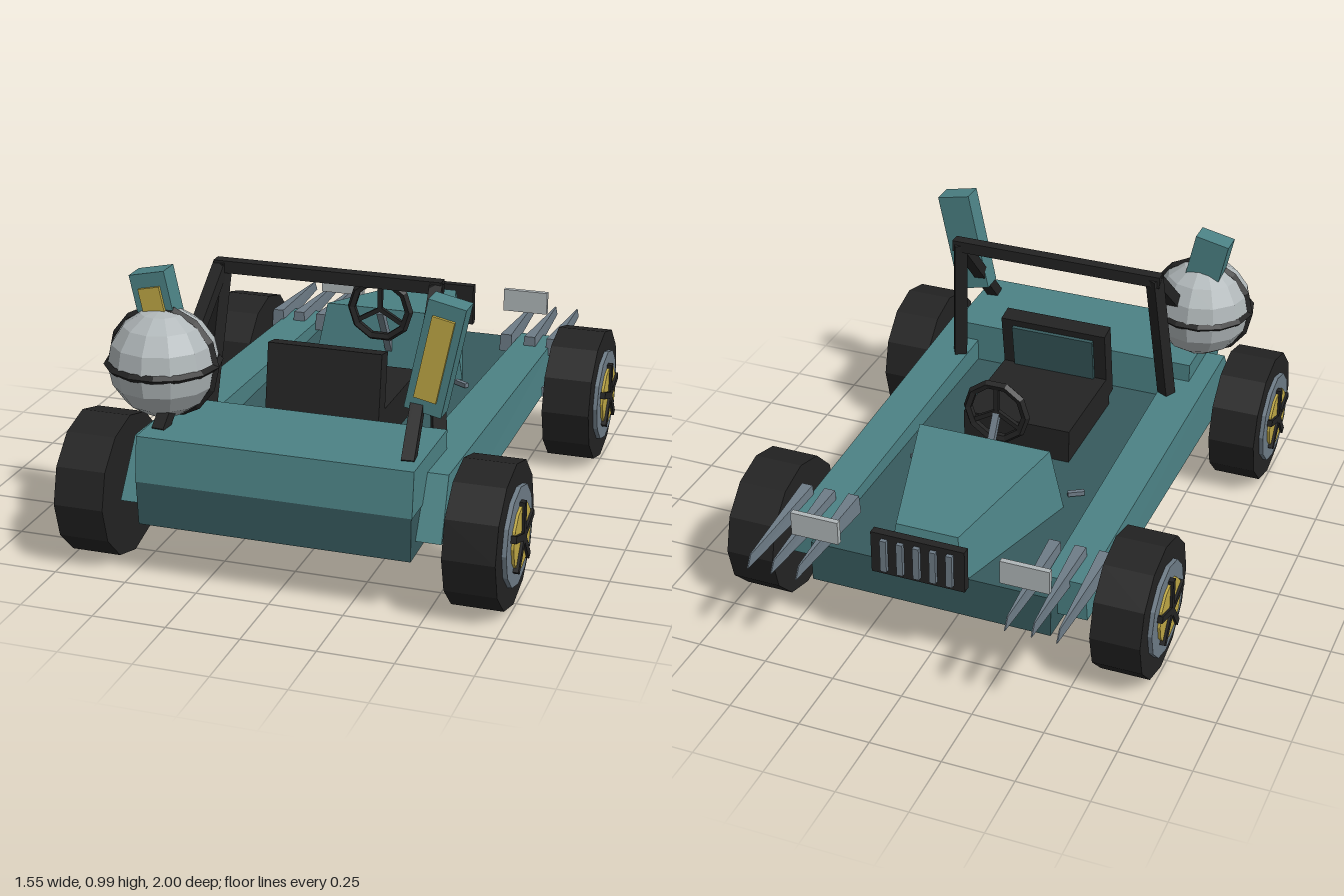
import * as THREE from 'three';

const mat = (name, color) => {
  const m = new THREE.MeshStandardMaterial({ color, flatShading: true });
  m.name = name;
  return m;
};

export function createModel() {
  const teal = mat('teal paint', 0x4c8285);
  const darkTeal = mat('dark teal paint', 0x375a5d);
  const black = mat('black rubber', 0x232323);
  const steel = mat('blue grey steel', 0x6e7c87);
  const gold = mat('gold', 0xc0a945);
  const pale = mat('pale grey', 0xb0b7b9);

  const model = new THREE.Group();
  model.name = 'buggy';

  const add = (name, geometry, material, x = 0, y = 0, z = 0, parent = model) => {
    const mesh = new THREE.Mesh(geometry, material);
    mesh.name = name;
    mesh.position.set(x, y, z);
    parent.add(mesh);
    return mesh;
  };
  const box = (name, material, w, h, d, x, y, z, parent) =>
    add(name, new THREE.BoxGeometry(w, h, d), material, x, y, z, parent);

  // Square bar between two points
  const bar = (name, material, a, b, t) => {
    const p = new THREE.Vector3(...a), q = new THREE.Vector3(...b);
    const mid = p.clone().add(q).multiplyScalar(0.5);
    const mesh = box(name, material, t, t, p.distanceTo(q), mid.x, mid.y, mid.z);
    mesh.lookAt(q);
    return mesh;
  };

  // Block from a bottom and a top ring, each counterclockwise seen from above
  const block = (name, material, bottom, top, s = 1) => {
    const place = (ring) => {
      const r = ring.map(([x, y, z]) => [s * x, y, z]);
      return s < 0 ? r.reverse() : r;
    };
    const b = place(bottom), t = place(top), n = b.length, pos = [];
    const tri = (...pts) => pts.forEach((p) => pos.push(...p));
    for (let i = 0; i < n; i++) {
      const j = (i + 1) % n;
      tri(b[i], b[j], t[j]);
      tri(b[i], t[j], t[i]);
    }
    for (let i = 1; i < n - 1; i++) {
      tri(t[0], t[i], t[i + 1]);
      tri(b[0], b[i + 1], b[i]);
    }
    const g = new THREE.BufferGeometry();
    g.setAttribute('position', new THREE.Float32BufferAttribute(pos, 3));
    g.computeVertexNormals();
    return add(name, g, material);
  };
  // Level or sloping rectangle: half widths and heights at the +z and -z ends
  const ring = (z1, w1, y1, z0, w0, y0) => [[-w1, y1, z1], [w1, y1, z1], [w0, y0, z0], [-w0, y0, z0]];

  // Floor pan, rear deck and hood
  block('floorPan', darkTeal, ring(0.96, 0.46, 0.2, -0.76, 0.43, 0.2), ring(0.965, 0.463, 0.35, -0.76, 0.43, 0.35));
  block('rearDeck', teal, ring(0.965, 0.465, 0.35, 0.58, 0.465, 0.35), ring(0.945, 0.465, 0.5, 0.58, 0.465, 0.5));
  block('hood', teal, ring(-0.25, 0.285, 0.34, -0.805, 0.13, 0.33), ring(-0.275, 0.24, 0.58, -0.765, 0.11, 0.51));

  // Grille with upright slats
  box('grille', black, 0.33, 0.155, 0.03, 0, 0.438, -0.83);
  for (let i = -2; i <= 2; i++) box('grilleSlat', steel, 0.022, 0.12, 0.02, i * 0.058, 0.438, -0.85);

  // Seat and backrest
  block('seatCushion', black, ring(0.45, 0.2, 0.35, 0.02, 0.2, 0.35), ring(0.45, 0.2, 0.475, 0.02, 0.2, 0.475));
  const back = new THREE.Group();
  back.name = 'seatBack';
  back.position.set(0, 0.53, 0.435);
  back.rotation.x = -0.16;
  model.add(back);
  box('backrest', black, 0.4, 0.29, 0.065, 0, 0, 0, back);
  box('backrestPanel', darkTeal, 0.31, 0.2, 0.016, 0, 0.02, -0.038, back);

  // Steering wheel and column
  add('steeringWheel', new THREE.TorusGeometry(0.107, 0.016, 5, 10), black, 0, 0.62, -0.16);
  for (let i = 0; i < 3; i++) {
    const a = Math.PI / 2 + (i * Math.PI * 2) / 3;
    bar('steeringSpoke', black, [0, 0.62, -0.16], [Math.cos(a) * 0.1, 0.62 + Math.sin(a) * 0.1, -0.16], 0.016);
  }
  bar('steeringColumn', steel, [0, 0.61, -0.16], [0, 0.43, -0.27], 0.024);

  // Roll bar crosspiece
  box('rollBarTop', black, 0.79, 0.042, 0.042, 0, 0.922, 0.41);

  for (const s of [-1, 1]) {
    // Side pods
    block('sidePod', teal,
      [[0.375, 0.25, 0.91], [0.545, 0.25, 0.91], [0.535, 0.25, -0.7], [0.39, 0.25, -0.7]],
      [[0.375, 0.44, 0.8], [0.535, 0.44, 0.8], [0.525, 0.39, -0.7], [0.39, 0.39, -0.7]], s);

    // Roll bar posts and rear braces
    bar('rollBarPost', black, [s * 0.37, 0.93, 0.408], [s * 0.41, 0.42, 0.485], 0.046);
    bar('rollBarBrace', black, [s * 0.375, 0.925, 0.41], [s * 0.42, 0.49, 0.86], 0.042);

    // Tapered exhaust blades
    for (const x of [0.365, 0.455, 0.54]) {
      block('exhaustBlade', steel,
        [[x - 0.025, 0.365, -0.555], [x + 0.025, 0.365, -0.555], [x + 0.002, 0.373, -1], [x - 0.002, 0.373, -1]],
        [[x - 0.02, 0.43, -0.555], [x + 0.02, 0.43, -0.555], [x + 0.002, 0.412, -0.975], [x - 0.002, 0.412, -0.975]], s);
    }

    // Headlight and floor lever
    box('headlight', pale, 0.17, 0.085, 0.02, s * 0.37, 0.472, -0.832);
    bar('floorLever', steel, [s * 0.275, 0.365, -0.19], [s * 0.325, 0.365, -0.16], 0.016);

    // Leaning rear pillars with gold plates
    const pillar = new THREE.Group();
    pillar.name = 'rearPillar';
    pillar.position.set(s * 0.465, 0.795, 0.695);
    pillar.rotation.z = -s * 0.21;
    model.add(pillar);
    box('pillarBody', teal, 0.125, 0.375, 0.08, 0, 0, 0, pillar);
    box('pillarPlate', gold, 0.075, 0.28, 0.012, 0, 0, 0.045, pillar);

    // Wheels and suspension arms
    for (const z of [0.757, -0.537]) {
      const wheel = new THREE.Group();
      wheel.name = z > 0 ? 'rearWheel' : 'frontWheel';
      wheel.position.set(0, 0.245, z);
      model.add(wheel);
      const disc = (name, material, r, x0, x1) => {
        const g = new THREE.CylinderGeometry(r, r, x1 - x0, 12).rotateZ(Math.PI / 2);
        add(name, g, material, (s * (x0 + x1)) / 2, 0, 0, wheel);
      };
      disc('tyre', black, 0.243, 0.57, 0.742);
      disc('rim', steel, 0.167, 0.73, 0.757);
      disc('hub', gold, 0.11, 0.74, 0.766);
      for (let i = 0; i < 5; i++) {
        const g = new THREE.BoxGeometry(0.022, 0.12, 0.024).translate(0, 0.06, 0);
        add('wheelSpoke', g, black, s * 0.764, 0, 0, wheel).rotation.x = (i * Math.PI * 2) / 5;
      }
      const inward = z > 0 ? -0.15 : 0.15;
      bar('suspensionArm', steel, [s * 0.59, 0.25, z], [s * 0.44, 0.28, z + inward * 1.3], 0.035);
      bar('axle', darkTeal, [s * 0.59, 0.245, z], [s * 0.42, 0.285, z], 0.045);
    }
  }

  // Round tank with two hoops
  const tank = new THREE.Group();
  tank.name = 'tank';
  tank.position.set(-0.457, 0.68, 0.725);
  model.add(tank);
  add('tankBall', new THREE.SphereGeometry(0.183, 12, 8), pale, 0, 0, 0, tank);
  add('tankHoop', new THREE.TorusGeometry(0.181, 0.014, 4, 14), black, 0, 0, 0, tank);
  add('tankBelt', new THREE.TorusGeometry(0.181, 0.014, 4, 14), black, 0, 0, 0, tank).rotation.x = Math.PI / 2;

  return model;
}
